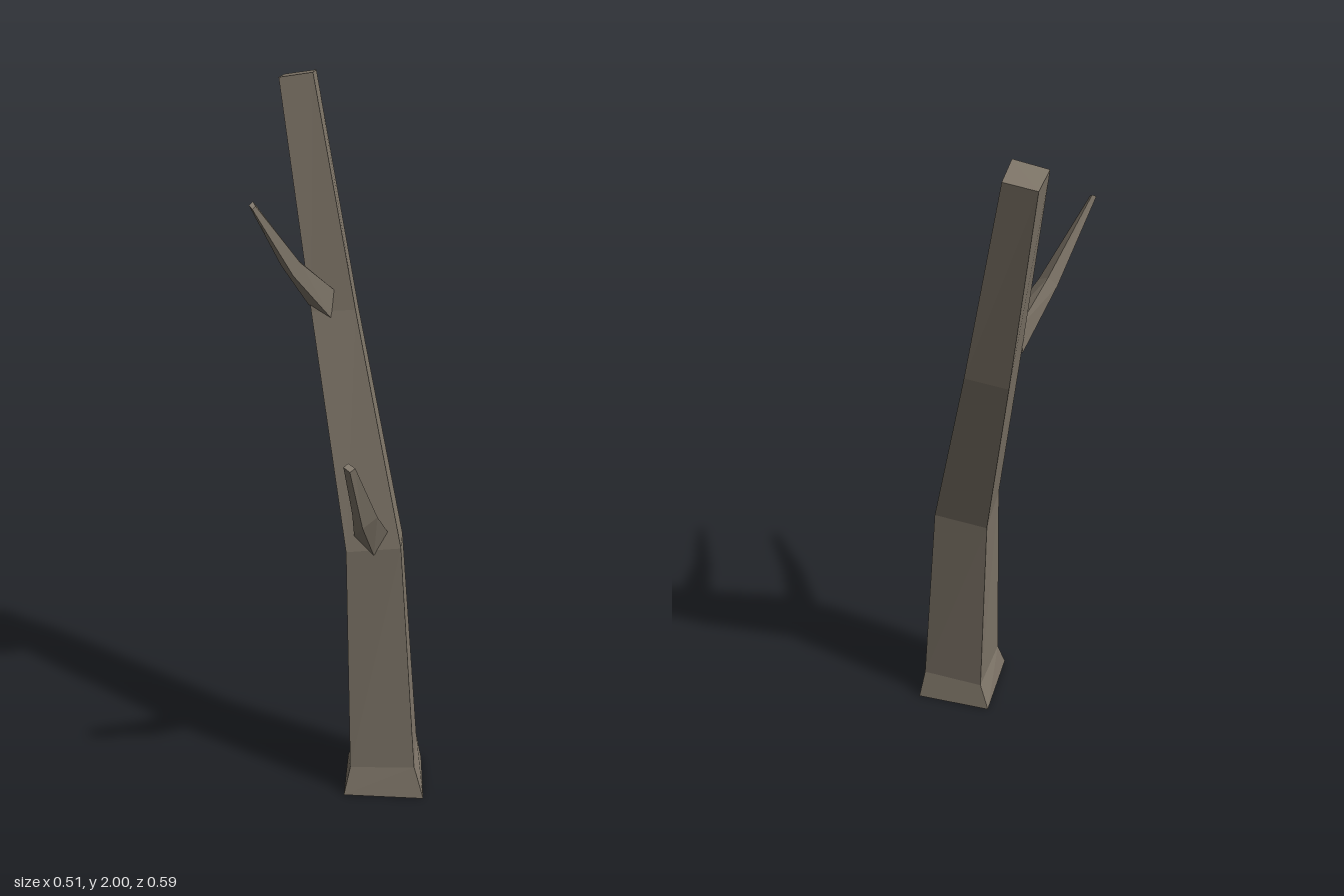
import * as THREE from 'three';

// Skins four-cornered rings, listed from root to tip, and closes the tip.
function limb(name, rings, material) {
  const pos = [];
  const quad = (a, b, c, d) => pos.push(...a, ...b, ...c, ...a, ...c, ...d);
  for (let r = 0; r < rings.length - 1; r++) {
    const lo = rings[r], hi = rings[r + 1];
    for (let i = 0; i < 4; i++) {
      const j = (i + 1) % 4;
      quad(lo[i], lo[j], hi[j], hi[i]);
    }
  }
  quad(...rings[rings.length - 1]);
  const geometry = new THREE.BufferGeometry();
  geometry.setAttribute('position', new THREE.Float32BufferAttribute(pos, 3));
  geometry.computeVertexNormals();
  const mesh = new THREE.Mesh(geometry, material);
  mesh.name = name;
  return mesh;
}

export function createModel() {
  const bark = new THREE.MeshStandardMaterial({ color: 0x7d7467, flatShading: true, side: THREE.DoubleSide });
  bark.name = 'grey brown bark';
  const tree = new THREE.Group();
  tree.name = 'deadTree';

  // Trunk corners: back left, front left, front right, back right; open at the root
  tree.add(limb('trunk', [
    [[-0.015, 0, -0.057], [0.033, 0, 0.155], [0.257, 0, 0.11], [0.198, 0, -0.1]],
    [[0.015, 0.08, -0.047], [0.045, 0.08, 0.13], [0.225, 0.09, 0.095], [0.187, 0.09, -0.08]],
    [[-0.017, 0.725, -0.065], [0.018, 0.74, 0.08], [0.168, 0.76, 0.055], [0.135, 0.735, -0.09]],
    [[-0.153, 1.34, -0.207], [-0.13, 1.37, -0.09], [-0.01, 1.38, -0.11], [-0.035, 1.35, -0.227]],
    [[-0.258, 1.975, -0.273], [-0.245, 1.985, -0.185], [-0.155, 2, -0.203], [-0.173, 1.988, -0.293]],
  ], bark));

  // Branch corners: left, bottom, right, top as seen from the tip
  tree.add(limb('lowerBranch', [
    [[0.037, 0.785, 0.065], [0.095, 0.735, 0.07], [0.128, 0.8, 0.045], [0.07, 0.85, 0.04]],
    [[0.06, 0.9, 0.165], [0.095, 0.87, 0.185], [0.125, 0.89, 0.145], [0.08, 0.925, 0.14]],
    [[0.07, 1.088, 0.283], [0.09, 1.08, 0.292], [0.1, 1.085, 0.275], [0.078, 1.093, 0.266]],
  ], bark));
  tree.add(limb('upperBranch', [
    [[-0.14, 1.385, -0.1], [-0.075, 1.355, -0.095], [-0.07, 1.43, -0.112], [-0.13, 1.46, -0.11]],
    [[-0.178, 1.53, 0.02], [-0.14, 1.51, 0.035], [-0.128, 1.54, 0.01], [-0.16, 1.56, 0]],
    [[-0.217, 1.73, 0.158], [-0.205, 1.722, 0.166], [-0.2, 1.728, 0.155], [-0.21, 1.738, 0.146]],
  ], bark));
  return tree;
}
